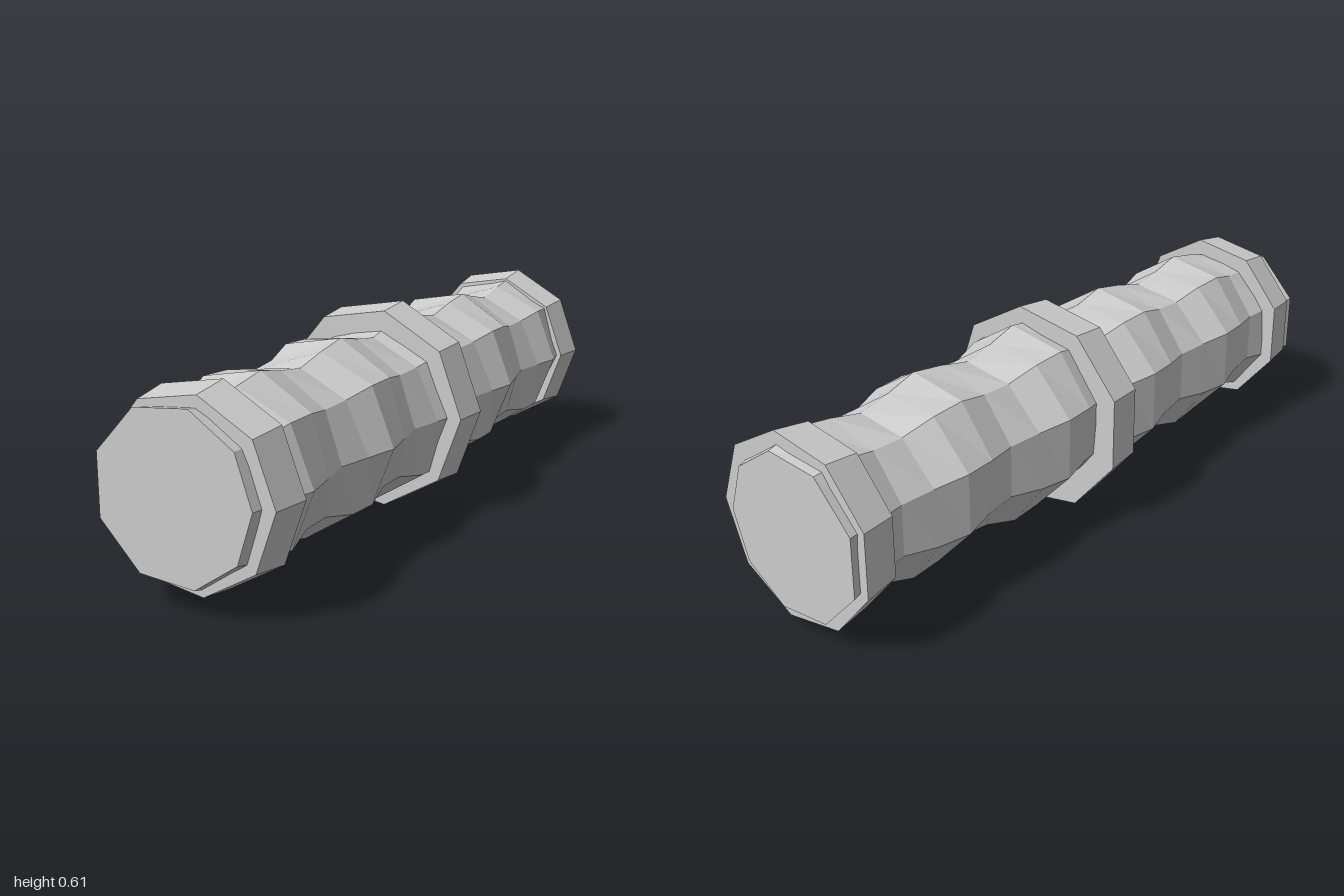
import * as THREE from 'three';

const SIDES = 9;
const CENTER_X = -0.01;
const CENTER_Y = 0.307;

// Nine-sided cylinder lying along z, with one corner pointing to +x
function prism(frontRadius, backRadius, length, segments = 1) {
  const geometry = new THREE.CylinderGeometry(
    frontRadius, backRadius, length, SIDES, segments, false, Math.PI / 2);
  return geometry.rotateX(Math.PI / 2);
}

// Shaft radius: slight taper to both ends plus a spiral wave
function shaftRadius(z, angle) {
  return 0.248 - 0.0175 * Math.abs(z) + 0.0205 * Math.cos(5 * Math.PI * z + angle);
}

function shaftGeometry() {
  const geometry = prism(1, 1, 2, 20);
  const p = geometry.attributes.position;
  for (let i = 0; i < p.count; i++) {
    const x = p.getX(i), y = p.getY(i), z = p.getZ(i);
    const r = shaftRadius(z, Math.atan2(y, x));
    p.setXYZ(i, x * r, y * r, z);
  }
  geometry.computeVertexNormals();
  return geometry;
}

export function createModel() {
  const group = new THREE.Group();
  group.name = 'ringedGrip';

  const grey = new THREE.MeshStandardMaterial({ color: 0xcccccc, flatShading: true });
  grey.name = 'light grey';

  const add = (name, geometry, z = 0) => {
    const mesh = new THREE.Mesh(geometry, grey);
    mesh.name = name;
    mesh.position.set(CENTER_X, CENTER_Y, z);
    group.add(mesh);
  };

  // Wavy shaft
  add('shaft', shaftGeometry());

  // Collars, each slightly narrower at the front
  add('middleCollar', prism(0.298, 0.31, 0.114));
  add('frontCollar', prism(0.255, 0.271, 0.107), 0.917);
  add('backCollar', prism(0.255, 0.271, 0.107), -0.921);

  return group;
}
